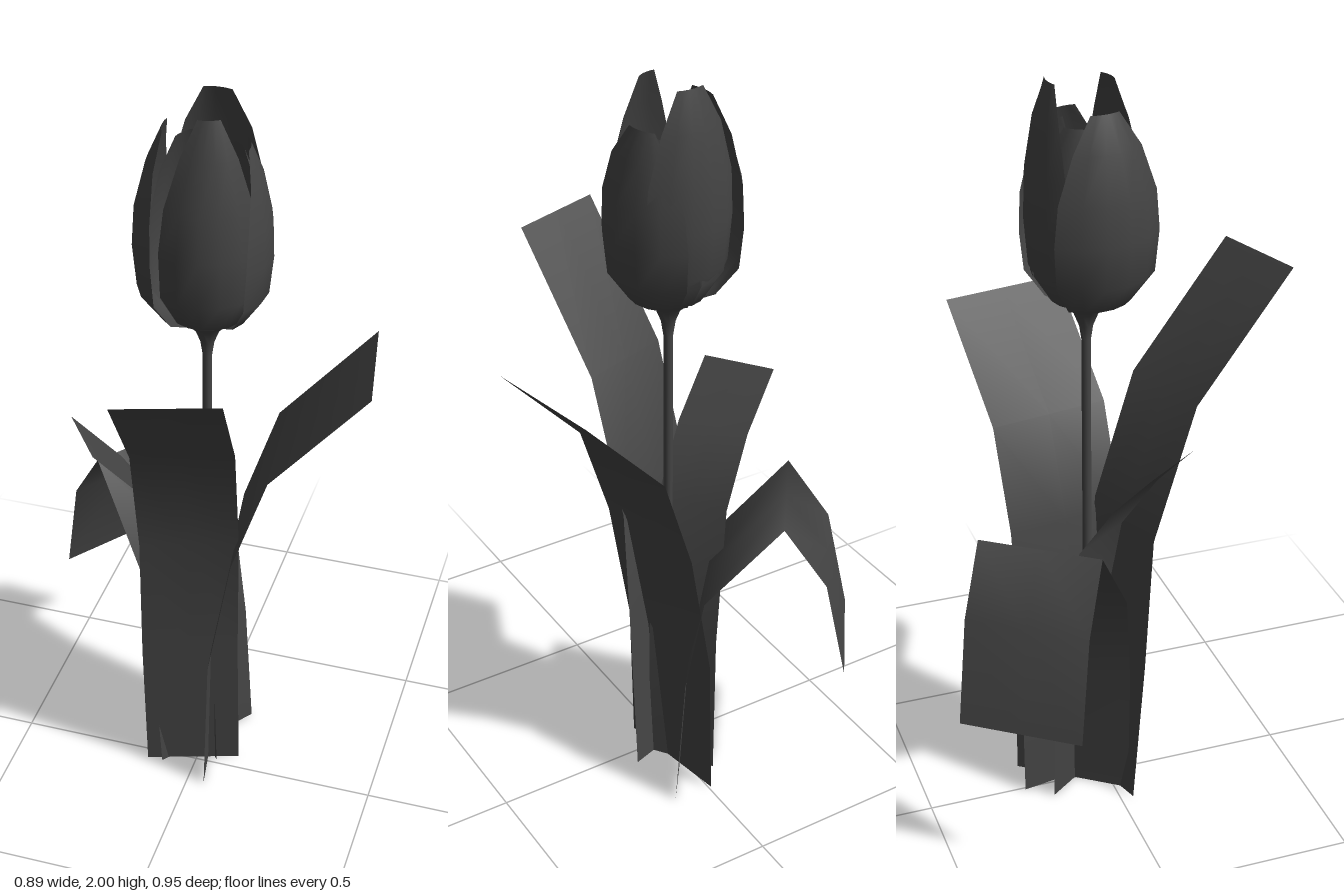
import * as THREE from 'three';

const material = new THREE.MeshStandardMaterial({ color: 0x444444, side: THREE.DoubleSide });
const CX = 0.015, CZ = -0.045; // stem axis

function add(parent, name, geometry) {
  const mesh = new THREE.Mesh(geometry, material);
  mesh.name = name;
  parent.add(mesh);
  return mesh;
}

// Grid surface: point(u, j) for u across (0..1) and row j along, smooth normals
function surface(cols, rows, point) {
  const pos = [], index = [];
  for (let j = 0; j <= rows; j++)
    for (let i = 0; i <= cols; i++) pos.push(...point(i / cols, j));
  for (let j = 0; j < rows; j++)
    for (let i = 0; i < cols; i++) {
      const a = j * (cols + 1) + i, b = a + cols + 1;
      index.push(a, b, a + 1, a + 1, b, b + 1);
    }
  const g = new THREE.BufferGeometry();
  g.setAttribute('position', new THREE.Float32BufferAttribute(pos, 3));
  g.setIndex(index);
  g.computeVertexNormals();
  return g;
}

// Flat ribbon: centre path of [x, y, z] with a constant width vector (x, z)
function leaf(path, wx, wz) {
  return surface(2, path.length - 1, (u, j) => {
    const [x, y, z] = path[j];
    return [x + (u - 0.5) * wx, y, z + (u - 0.5) * wz];
  });
}

// Petal: [radius, height 0..1, half-angle factor] rows swept around the axis
const petalRows = [
  [0.035, 0, 0.9], [0.1, 0.06, 0.95], [0.15, 0.21, 1], [0.16, 0.42, 1],
  [0.156, 0.62, 0.95], [0.132, 0.84, 0.75], [0.1, 1, 0.4],
];
function petal({ angle, top, scale, spread, curl }) {
  return surface(5, petalRows.length - 1, (u, j) => {
    const [radius, h, w] = petalRows[j];
    const t = THREE.MathUtils.degToRad(angle) + (u - 0.5) * 2 * w * spread;
    const r = radius * scale * (1 - curl * h * h);
    return [CX + Math.cos(t) * r, 1.42 + h * (top - 1.42), CZ + Math.sin(t) * r];
  });
}

export function createModel() {
  const model = new THREE.Group();
  model.name = 'tulip';

  // Stem flaring into the flower base
  const profile = [[0.012, 0], [0.012, 1.33], [0.018, 1.37], [0.032, 1.405], [0.058, 1.43], [0.09, 1.455], [0, 1.46]];
  add(model, 'stem', new THREE.LatheGeometry(profile.map(p => new THREE.Vector2(...p)), 12))
    .position.set(CX, 0, CZ);

  // Leaves, gathered around the stem at the ground
  const leaves = new THREE.Group();
  leaves.name = 'leaves';
  model.add(leaves);
  add(leaves, 'frontLeaf', leaf([
    [-0.01, 0, -0.005], [-0.01, 0.42, 0.025], [-0.005, 0.8, 0.047], [0.015, 1.16, 0.165], [0.06, 1.48, 0.432],
  ], 0.245, -0.08));
  add(leaves, 'leftLeaf', leaf([
    [0.02, 0, -0.075], [0.03, 0.42, -0.075], [0.09, 0.78, -0.077], [0.178, 1.05, -0.092], [0.418, 1.315, -0.14],
  ], 0.055, 0.32));
  add(leaves, 'backDroopingLeaf', leaf([
    [0.005, 0, -0.095], [-0.02, 0.38, -0.1], [-0.06, 0.65, -0.125],
    [-0.215, 0.895, -0.245], [-0.305, 0.73, -0.31], [-0.35, 0.455, -0.345],
  ], 0.19, -0.26));
  add(leaves, 'rightLeaf', leaf([
    [0, 0, -0.09], [-0.01, 0.42, -0.08], [-0.065, 0.8, -0.035], [-0.165, 0.97, 0.025], [-0.278, 1.105, 0.078],
  ], 0.113, 0.155));

  // Flower: three outer and three inner petals
  const flower = new THREE.Group();
  flower.name = 'flower';
  model.add(flower);
  const petals = [
    { angle: -18, top: 1.9, scale: 1, spread: 1, curl: 0 },
    { angle: 172, top: 1.94, scale: 1.14, spread: 0.88, curl: 0.05 },
    { angle: 268, top: 2, scale: 0.94, spread: 0.95, curl: 0 },
    { angle: 72, top: 1.99, scale: 0.95, spread: 0.95, curl: 0.25 },
    { angle: 212, top: 1.9, scale: 0.9, spread: 0.95, curl: 0.05 },
    { angle: 320, top: 1.88, scale: 0.9, spread: 0.9, curl: 0.05 },
  ];
  petals.forEach((p, i) => add(flower, i < 3 ? 'outerPetal' : 'innerPetal', petal(p)));

  // Pistil and stamens inside the cup
  add(flower, 'pistil', new THREE.CylinderGeometry(0.012, 0.02, 0.18, 6)).position.set(CX, 1.54, CZ);
  for (const [x, z] of [[0, -0.1], [0.06, -0.06], [-0.005, -0.04]]) {
    const tip = new THREE.Vector3(x, 1.68, z);
    const path = new THREE.LineCurve3(new THREE.Vector3(CX, 1.45, CZ), tip);
    add(flower, 'filament', new THREE.TubeGeometry(path, 1, 0.006, 6));
    add(flower, 'anther', new THREE.SphereGeometry(0.02, 10, 8)).position.copy(tip);
  }
  return model;
}
